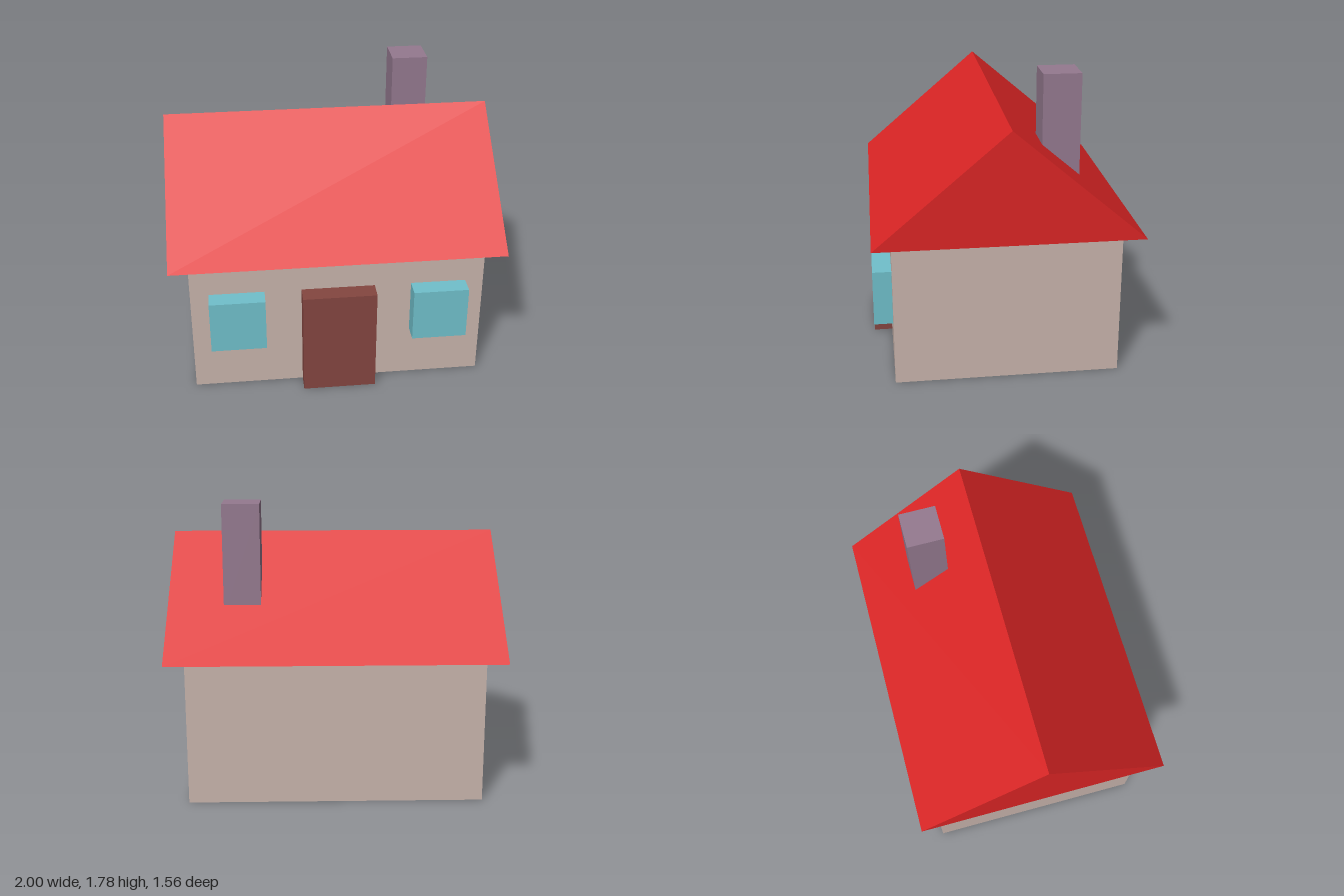
import * as THREE from 'three';

const U = 1 / 9; // one design unit

const material = (name, color) => {
  const m = new THREE.MeshStandardMaterial({ color });
  m.name = name;
  return m;
};

export function createModel() {
  const house = new THREE.Group();
  house.name = 'house';

  const wallBeige = material('wallBeige', 0xc8b4ac);
  const roofRed = material('roofRed', 0xdb2525);
  const doorBrown = material('doorBrown', 0x844640);
  const windowBlue = material('windowBlue', 0x70c0cb);
  const chimneyMauve = material('chimneyMauve', 0x94798f);

  // Box given by its minimum and maximum corners in design units
  const block = (name, mat, [x0, y0, z0], [x1, y1, z1]) => {
    const geometry = new THREE.BoxGeometry((x1 - x0) * U, (y1 - y0) * U, (z1 - z0) * U);
    const mesh = new THREE.Mesh(geometry, mat);
    mesh.position.set((x0 + x1) / 2 * U, (y0 + y1) / 2 * U, (z0 + z1) / 2 * U);
    mesh.name = name;
    house.add(mesh);
  };

  block('walls', wallBeige, [-8, 0, -6], [8, 8, 6]);
  block('door', doorBrown, [-2, 0, 6], [2, 6, 7]);
  block('leftWindow', windowBlue, [4, 3, 6], [7, 6, 7]);
  block('rightWindow', windowBlue, [-7, 3, 6], [-4, 6, 7]);
  block('chimney', chimneyMauve, [4, 10, -4], [6, 16, -2]);

  // Gable roof: a triangle extruded along the ridge
  const gable = new THREE.Shape([
    new THREE.Vector2(-7 * U, 0),
    new THREE.Vector2(7 * U, 0),
    new THREE.Vector2(0, 6 * U),
  ]);
  const roofGeometry = new THREE.ExtrudeGeometry(gable, { depth: 18 * U, bevelEnabled: false });
  roofGeometry.translate(0, 0, -9 * U).rotateY(Math.PI / 2);
  const roof = new THREE.Mesh(roofGeometry, roofRed);
  roof.position.y = 8 * U;
  roof.name = 'roof';
  house.add(roof);

  return house;
}
